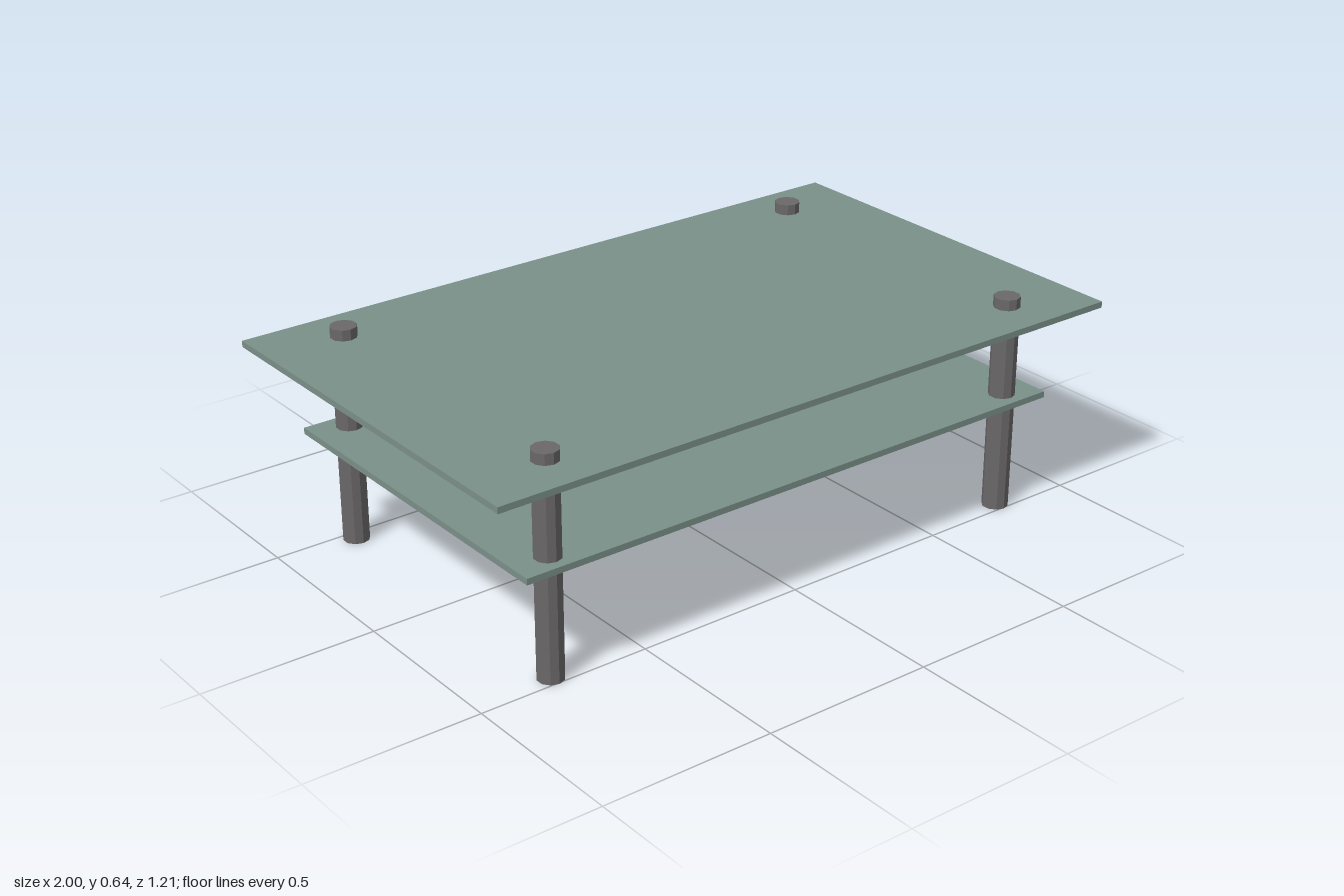
import * as THREE from 'three';

export function createModel() {
  const model = new THREE.Group();
  const glass = new THREE.MeshStandardMaterial({ color: 0x7a9088 });
  const metal = new THREE.MeshStandardMaterial({ color: 0x6a6868, flatShading: true });

  // Thin rectangular panes
  const addPane = (name, width, depth, y) => {
    const pane = new THREE.Mesh(new THREE.BoxGeometry(width, 0.018, depth), glass);
    pane.name = name;
    pane.position.y = y;
    model.add(pane);
  };
  addPane('tableTop', 2, 1.21, 0.6);
  addPane('lowerShelf', 1.75, 1.06, 0.336);

  // Ten-sided legs passing through both panes
  const legHeight = 0.64;
  const legGeometry = new THREE.CylinderGeometry(0.0375, 0.0375, legHeight, 10);
  for (const [side, x] of [['Left', 0.77], ['Right', -0.77]]) {
    for (const [end, z] of [['front', 0.467], ['back', -0.467]]) {
      const leg = new THREE.Mesh(legGeometry, metal);
      leg.name = `${end}${side}Leg`;
      leg.position.set(x, legHeight / 2, z);
      model.add(leg);
    }
  }
  return model;
}
